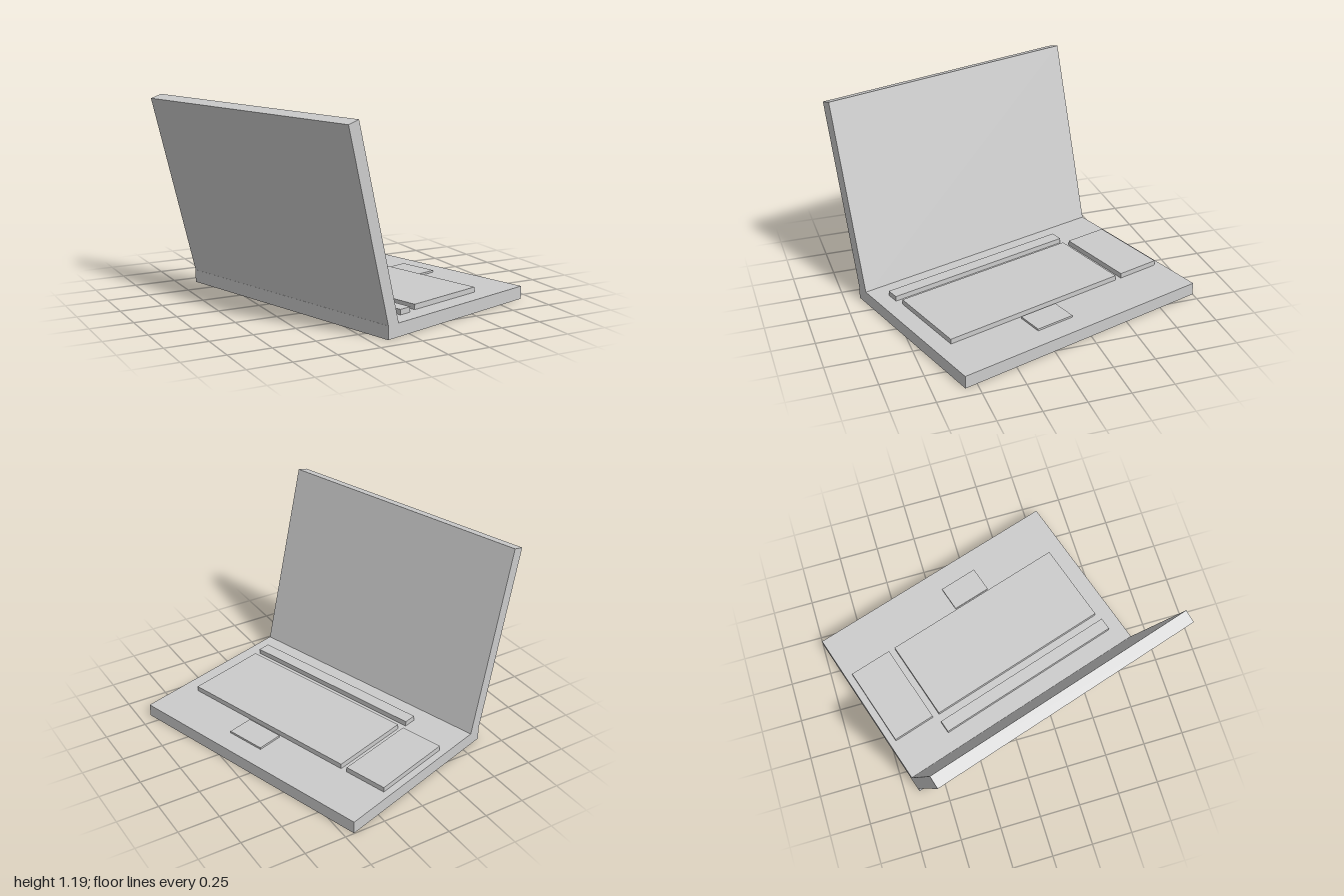
import * as THREE from 'three';

export function createModel() {
  const model = new THREE.Group();
  const laptop = new THREE.Group();
  laptop.name = 'laptop';
  model.add(laptop);

  const material = new THREE.MeshStandardMaterial({ color: 0xcccccc, flatShading: true });
  const length = 1.643;
  const deck = 0.077;

  // Box standing on height y0, centred at x, z
  function slab(name, width, height, depth, x, y0, z) {
    const mesh = new THREE.Mesh(new THREE.BoxGeometry(width, height, depth), material);
    mesh.name = name;
    mesh.position.set(x, y0 + height / 2, z);
    laptop.add(mesh);
    return mesh;
  }

  // Base and the raised panels on its deck
  slab('base', 1.137, deck, length, 0, 0, 0);
  slab('keyboard', 0.512, 0.031, 1.181, 0.011, deck, 0.124);
  slab('numberPad', 0.508, 0.031, 0.27, 0.014, deck, -0.644);
  slab('functionKeyStrip', 0.078, 0.031, 1.213, -0.336, deck, 0.122);
  slab('touchpad', 0.16, 0.012, 0.245, 0.362, deck, 0.123);

  // Lid leaning back, its lower edge sunk into the base
  const lid = new THREE.Group();
  lid.name = 'lid';
  lid.position.set(-0.555, 0.031, 0);
  lid.rotation.z = THREE.MathUtils.degToRad(15.3);
  const screen = slab('screenPanel', 0.076, 1.177, length, 0.038, 0, 0);
  lid.add(screen);
  laptop.add(lid);

  // Turn the whole laptop on its stand point
  laptop.rotation.y = THREE.MathUtils.degToRad(17.2);
  laptop.position.set(0.145, 0, -0.045);
  return model;
}
